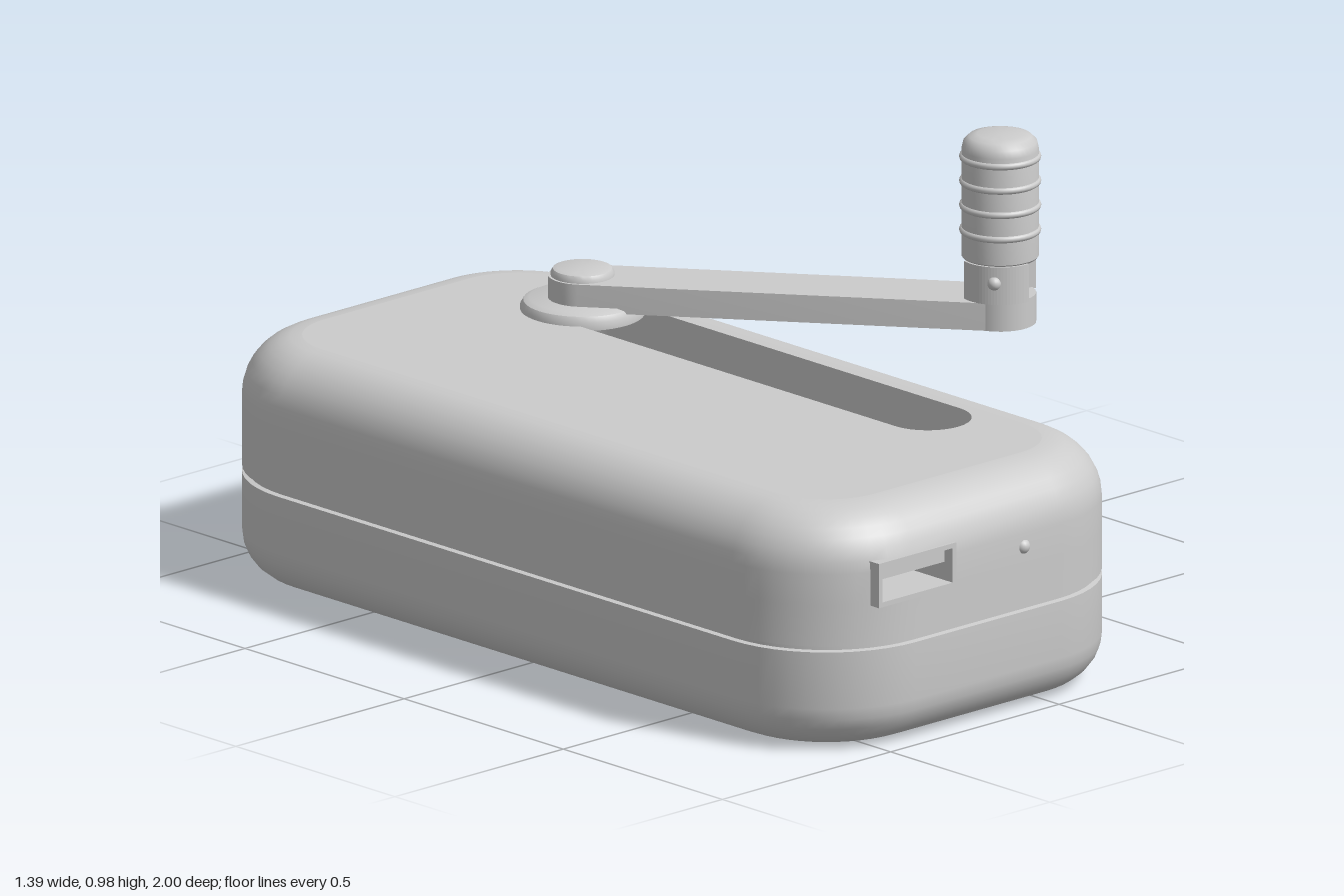
import * as THREE from 'three';
import { toCreasedNormals } from 'three/addons/utils/BufferGeometryUtils.js';

const grey = new THREE.MeshStandardMaterial({ color: 0xcccccc });
const greyDouble = new THREE.MeshStandardMaterial({ color: 0xcccccc, side: THREE.DoubleSide });

const BODY = { x: -0.2015, z: -0.003, hw: 0.4965, hl: 0.995, r: 0.28, top: 0.535 };
const PORT = { x0: -0.53, x1: -0.3, y0: 0.33, y1: 0.43 };
const HUB = { x: 0.045, z: -0.545 };
const ARM = { dx: 0.56, dz: 0.72, r: 0.075 };

function add(parent, name, geometry, x = 0, y = 0, z = 0, material = grey) {
  const mesh = new THREE.Mesh(geometry, material);
  mesh.name = name;
  mesh.position.set(x, y, z);
  parent.add(mesh);
  return mesh;
}

// Plan outline [x, z] of the case, inset from its widest line
function caseOutline(inset) {
  const pts = [], n = 12, r = BODY.r - inset;
  const corners = [[1, 1], [-1, 1], [-1, -1], [1, -1]];
  corners.forEach(([sx, sz], k) => {
    const cx = BODY.x + sx * (BODY.hw - BODY.r), cz = BODY.z + sz * (BODY.hl - BODY.r);
    for (let i = 0; i <= n; i++) {
      const a = (k + i / n) * Math.PI / 2;
      pts.push([cx + r * Math.cos(a), cz + r * Math.sin(a)]);
    }
    // edge of the port opening on the straight front
    if (k === 0) pts.push([PORT.x1 - 0.005, cz + r]);
  });
  return pts;
}

// Long-hole outline between two points on the local x axis
function stadium(x0, x1, r, n = 16) {
  const pts = [];
  for (let i = 0; i <= n; i++) {
    const a = -Math.PI / 2 + Math.PI * i / n;
    pts.push([x1 + r * Math.cos(a), r * Math.sin(a)]);
  }
  for (let i = 0; i <= n; i++) {
    const a = Math.PI / 2 + Math.PI * i / n;
    pts.push([x0 + r * Math.cos(a), r * Math.sin(a)]);
  }
  return pts;
}

// Joins closed outlines stacked upwards; skip() leaves quads open
function loft(rows, skip = () => false) {
  const n = rows[0].pts.length, pos = [], idx = [];
  rows.forEach(({ y, pts }) => pts.forEach(([x, z]) => pos.push(x, y, z)));
  for (let j = 0; j < rows.length - 1; j++) {
    for (let i = 0; i < n; i++) {
      const k = (i + 1) % n;
      if (skip(rows[j], rows[j + 1], i, k)) continue;
      const a = j * n + i, b = j * n + k;
      idx.push(a, a + n, b, b, a + n, b + n);
    }
  }
  const g = new THREE.BufferGeometry();
  g.setAttribute('position', new THREE.Float32BufferAttribute(pos, 3));
  g.setIndex(idx);
  return toCreasedNormals(g, 0.6);
}

const toShape = pts => new THREE.Shape(pts.map(([x, z]) => new THREE.Vector2(x, -z)));
const flat = shape => new THREE.ShapeGeometry(shape).rotateX(-Math.PI / 2);
const lathe = (pts, n = 40) =>
  toCreasedNormals(new THREE.LatheGeometry(pts.map(p => new THREE.Vector2(...p)), n), 0.6);

function makeCase() {
  const g = new THREE.Group();
  g.name = 'case';
  const rb = 0.1, rt = 0.13, profile = [];
  for (let i = 0; i <= 6; i++) {
    const a = i / 6 * Math.PI / 2;
    profile.push([rb * (1 - Math.sin(a)), rb * (1 - Math.cos(a))]);
  }
  // seam groove, then the height of the port's lower edge
  profile.push([0, 0.229], [0.012, 0.231], [0.012, 0.24], [0, 0.242], [0, PORT.y0 + 0.005]);
  for (let i = 0; i <= 8; i++) {
    const a = i / 8 * Math.PI / 2;
    profile.push([rt * (1 - Math.cos(a)), BODY.top - rt + rt * Math.sin(a)]);
  }
  const rows = profile.map(([inset, y]) => ({ y, pts: caseOutline(inset) }));
  const inPort = (lo, hi, i, k) => lo.y >= PORT.y0 && hi.y <= PORT.y1 + 0.005 &&
    [i, k].every(q => lo.pts[q][1] > 0.9 && lo.pts[q][0] > PORT.x0 && lo.pts[q][0] < PORT.x1);
  add(g, 'caseWall', loft(rows, inPort));

  // bottom and top faces, the top opened for the storage slot
  add(g, 'caseBottom', flat(toShape(caseOutline(rb))).rotateX(Math.PI).scale(1, 1, -1), 0, 0, 0, greyDouble);
  const slot = stadium(HUB.z, 0.54, 0.095).map(([a, b]) => [HUB.x + b, a]);
  const top = toShape(caseOutline(rt));
  top.holes.push(toShape(slot));
  add(g, 'caseTop', flat(top), 0, BODY.top);
  const floorY = BODY.top - 0.1;
  add(g, 'slotWall', loft([{ y: floorY, pts: slot }, { y: BODY.top, pts: slot }]), 0, 0, 0, greyDouble);
  add(g, 'slotFloor', flat(toShape(slot)), 0, floorY);
  return g;
}

function makePort() {
  const g = new THREE.Group();
  g.name = 'chargingPort';
  const w = PORT.x1 - PORT.x0, h = PORT.y1 - PORT.y0, t = 0.011;
  const rect = (S, i) => new S([[i, i], [w - i, i], [w - i, h - i], [i, h - i]]
    .map(p => new THREE.Vector2(...p)));
  const frame = rect(THREE.Shape, 0);
  frame.holes.push(rect(THREE.Path, t));
  add(g, 'portFrame', new THREE.ExtrudeGeometry(frame, { depth: 0.145, bevelEnabled: false }),
    PORT.x0, PORT.y0, 0.85);
  const cx = (PORT.x0 + PORT.x1) / 2;
  add(g, 'portBack', new THREE.BoxGeometry(w, h, 0.01), cx, (PORT.y0 + PORT.y1) / 2, 0.85);
  add(g, 'portTongue', new THREE.BoxGeometry(w - 0.034, 0.03, 0.12), cx, 0.4, 0.915);
  return g;
}

function makeHandle() {
  const g = new THREE.Group();
  g.name = 'handle';
  add(g, 'handleFoot', new THREE.CylinderGeometry(0.078, 0.078, 0.066, 32), 0, 0.582);
  add(g, 'hingeTang', new THREE.BoxGeometry(0.1, 0.1, 0.07), 0, 0.65);

  // two curved fork cheeks with a pin through them
  for (const s of [1, -1]) {
    const mid = s * Math.PI / 2, half = 0.95;
    const cheek = new THREE.Shape();
    cheek.absarc(0, 0, 0.087, mid - half, mid + half, false);
    cheek.absarc(0, 0, 0.048, mid + half, mid - half, true);
    const geo = new THREE.ExtrudeGeometry(cheek, { depth: 0.085, bevelEnabled: false, curveSegments: 12 });
    add(g, 'forkCheek', geo.rotateX(-Math.PI / 2), 0, 0.612);
    add(g, 'pinHead', new THREE.SphereGeometry(0.015, 16, 12), 0, 0.66, s * 0.085);
  }

  // grip with a domed end and raised rings
  add(g, 'grip', lathe([[0, 0.695], [0.08, 0.695], [0.084, 0.7], [0.084, 0.94], [0.08, 0.957],
    [0.068, 0.969], [0.05, 0.974], [0, 0.975]]));
  for (let i = 0; i < 4; i++) {
    add(g, 'gripRing', new THREE.TorusGeometry(0.081, 0.008, 10, 40).rotateX(Math.PI / 2), 0, 0.758 + i * 0.055);
  }
  return g;
}

function makeCrank() {
  const g = new THREE.Group();
  g.name = 'crank';
  const length = Math.hypot(ARM.dx, ARM.dz);
  add(g, 'hubDisc', lathe([[0, 0.525], [0.135, 0.525], [0.135, 0.543], [0.128, 0.555], [0.115, 0.561], [0, 0.561]], 48));
  const arm = new THREE.ExtrudeGeometry(toShape(stadium(0, length, ARM.r)), { depth: 0.062, bevelEnabled: false });
  add(g, 'crankArm', toCreasedNormals(arm.rotateX(-Math.PI / 2), 0.6), 0, 0.549);
  add(g, 'pivotCap', lathe([[0, 0.605], [0.069, 0.605], [0.069, 0.618], [0.064, 0.626], [0.055, 0.629], [0, 0.629]]));
  const handle = makeHandle();
  handle.position.x = length;
  g.add(handle);
  g.position.set(HUB.x, 0, HUB.z);
  g.rotation.y = -Math.atan2(ARM.dz, ARM.dx);
  return g;
}

export function createModel() {
  const model = new THREE.Group();
  model.name = 'handCrankCharger';
  model.add(makeCase(), makePort(), makeCrank());
  // small indicator light on the front
  add(model, 'indicatorLight', new THREE.SphereGeometry(0.017, 20, 14), -0.095, 0.375, 0.985);
  return model;
}
